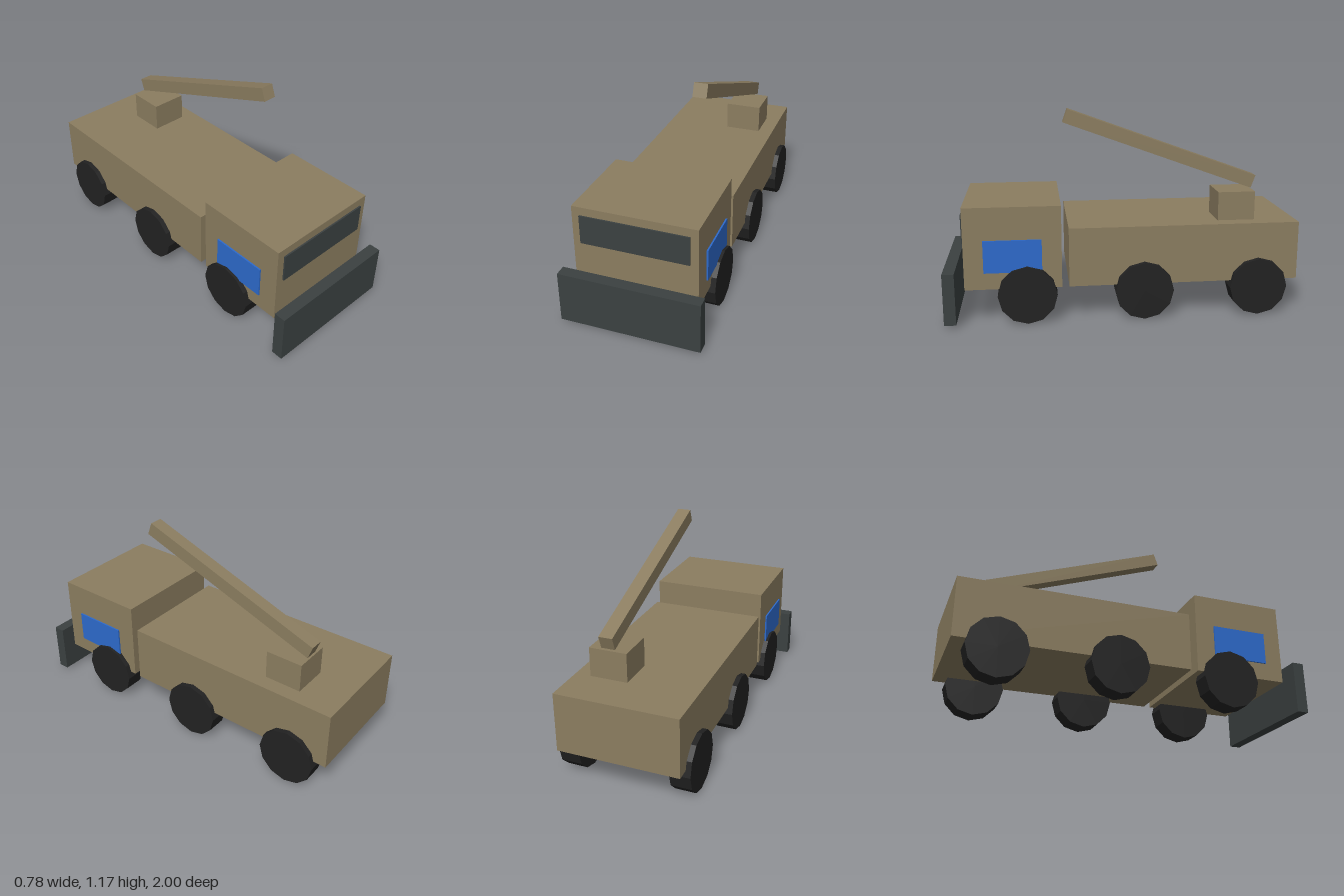
import * as THREE from 'three';

function material(name, color) {
  const m = new THREE.MeshStandardMaterial({ color });
  m.name = name;
  return m;
}

export function createModel() {
  const model = new THREE.Group();
  model.name = 'craneTruck';

  const tan = material('tanPaint', 0x8b7d60);
  const slate = material('darkSlate', 0x3b4141);
  const blue = material('bluePanel', 0x2d6acc);
  const rubber = material('blackRubber', 0x222222);
  rubber.flatShading = true;

  // Box given by its [min, max] range along each axis
  function block(name, mat, x, y, z) {
    const mesh = new THREE.Mesh(
      new THREE.BoxGeometry(x[1] - x[0], y[1] - y[0], z[1] - z[0]), mat);
    mesh.position.set((x[0] + x[1]) / 2, (y[0] + y[1]) / 2, (z[0] + z[1]) / 2);
    mesh.name = name;
    model.add(mesh);
    return mesh;
  }

  // Hull
  block('rearBody', tan, [-0.342, 0.342], [0.2, 0.534], [-1, 0.308]);
  block('cab', tan, [-0.342, 0.342], [0.2, 0.664], [0.348, 0.886]);
  block('windshield', slate, [-0.299, 0.299], [0.455, 0.618], [0.887, 0.896]);
  block('plowBlade', slate, [-0.392, 0.392], [0.017, 0.31], [0.934, 1]);

  // Crane
  block('craneBase', tan, [0.042, 0.255], [0.534, 0.698], [-0.763, -0.55]);
  const boom = block('craneBoom', tan, [0.109, 0.187], [0.9, 0.977], [-0.804, 0.346]);
  boom.rotation.x = -THREE.MathUtils.degToRad(20);

  // Side panels and three axles of twelve-sided wheels
  const wheelGeometry = new THREE.CylinderGeometry(0.165, 0.165, 0.116, 12);
  wheelGeometry.rotateZ(Math.PI / 2);
  for (const side of [-1, 1]) {
    const label = side > 0 ? 'left' : 'right';
    const panel = block(label + 'DoorPanel', blue,
      [0.346, 0.355], [0.297, 0.48], [0.457, 0.778]);
    panel.position.x *= side;

    [0.54, -0.115, -0.77].forEach((z, i) => {
      const wheel = new THREE.Mesh(wheelGeometry, rubber);
      wheel.position.set(side * 0.313, 0.165, z);
      wheel.name = label + ['Front', 'Middle', 'Rear'][i] + 'Wheel';
      model.add(wheel);
    });
  }

  return model;
}
